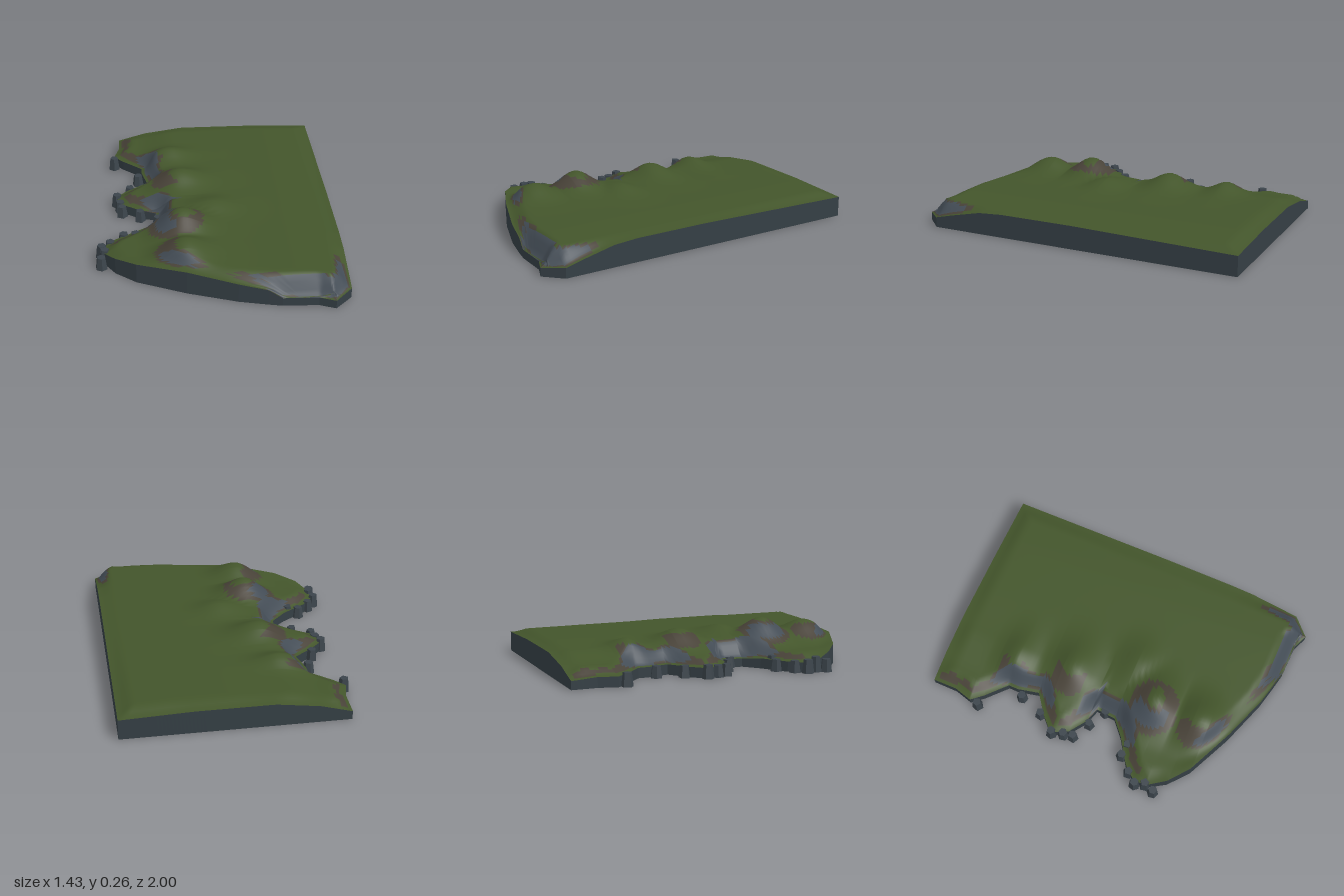
import * as THREE from 'three';

// Coast and far edges as [x, z, rim height], west side running back to front
const WEST = [
  [-0.58, -1, 0.05], [-0.58, -0.85, 0.06], [-0.61, -0.74, 0.06], [-0.55, -0.67, 0.06],
  [-0.43, -0.56, 0.06], [-0.43, -0.5, 0.06], [-0.4, -0.37, 0.06], [-0.52, -0.28, 0.06],
  [-0.6, -0.2, 0.06], [-0.55, -0.1, 0.06], [-0.45, -0.03, 0.06], [-0.35, 0, 0.05],
  [-0.36, 0.12, 0.05], [-0.45, 0.2, 0.06], [-0.6, 0.3, 0.06], [-0.67, 0.38, 0.06],
  [-0.67, 0.46, 0.07], [-0.6, 0.57, 0.1], [-0.48, 0.67, 0.12], [-0.2, 0.8, 0.14],
  [0.08, 0.9, 0.115], [0.24, 0.938, 0.095], [0.32, 0.955, 0.05], [0.52, 0.962, 0.05], [0.61, 1, 0.05],
];
const EAST = [
  [0.71, -1, 0.12], [0.71, 0, 0.14], [0.71, 0.45, 0.14], [0.71, 0.6, 0.13],
  [0.71, 0.8, 0.085], [0.71, 0.9, 0.06], [0.61, 1, 0.05],
];
const BACK = [[-0.58, -1, 0.05], [-0.4, -1, 0.1], [-0.15, -1, 0.135], [0.3, -1, 0.135], [0.71, -1, 0.12]];

// Hills as [x, z, rise, spread west, spread east, spread z]
const HILLS = [
  [-0.2, 0.61, 0.085, 0.1, 0.1, 0.095],
  [-0.21, 0.32, 0.115, 0.1, 0.11, 0.095],
  [-0.02, 0.13, 0.048, 0.12, 0.1, 0.08],
  [-0.2, -0.22, 0.08, 0.1, 0.12, 0.085],
  [-0.28, -0.57, 0.058, 0.09, 0.12, 0.065],
];

const smooth = THREE.MathUtils.smoothstep;

function edgeX(line, z) {
  for (let i = 1; i < line.length; i++) {
    const [x0, z0] = line[i - 1], [x1, z1] = line[i];
    if (z <= z1) return x0 + (x1 - x0) * (z - z0) / (z1 - z0);
  }
  return line.at(-1)[0];
}

// Distance to the nearest rim and the rim height there
function nearestRim(x, z) {
  let best = Infinity, rim = 0;
  for (const line of [WEST, EAST, BACK]) {
    for (let i = 1; i < line.length; i++) {
      const [ax, az, ah] = line[i - 1], [bx, bz, bh] = line[i];
      const dx = bx - ax, dz = bz - az;
      const t = THREE.MathUtils.clamp(((x - ax) * dx + (z - az) * dz) / (dx * dx + dz * dz), 0, 1);
      const d = Math.hypot(x - ax - t * dx, z - az - t * dz);
      if (d < best) { best = d; rim = ah + t * (bh - ah); }
    }
  }
  return [best, rim];
}

function height(x, z) {
  const [d, rim] = nearestRim(x, z);
  let rise = 0;
  for (const [hx, hz, a, west, east, sz] of HILLS) {
    const u = (x - hx) / (x < hx ? west : east), v = (z - hz) / sz;
    rise = Math.max(rise, a * Math.exp(-(u * u + v * v) / 2));
  }
  const land = 0.105 + 0.045 * smooth(x, -0.48, -0.2) + 0.008 * smooth(x, -0.2, 0.1) - 0.008 * smooth(x, 0.4, 0.7);
  return rim + (land + rise - rim) * smooth(d, 0, 0.1);
}

function mesh(name, geometry, color, flatShading = false) {
  const m = new THREE.Mesh(geometry, new THREE.MeshStandardMaterial({ color, flatShading }));
  m.name = name;
  return m;
}

function geometryFrom(points, index) {
  const g = new THREE.BufferGeometry();
  g.setAttribute('position', new THREE.Float32BufferAttribute(points, 3));
  g.setIndex(index);
  g.computeVertexNormals();
  return g;
}

export function createModel() {
  const model = new THREE.Group();
  model.name = 'coastalLand';

  // Rows across the land, with one at every corner of the outline
  const rowZ = new Set([...WEST, ...EAST].map(p => p[1]));
  for (let i = 0; i <= 80; i++) rowZ.add(Math.round((-1 + i / 40) * 1000) / 1000);
  const rows = [...rowZ].sort((a, b) => a - b);
  const cols = 64;
  const points = [];
  for (const z of rows) {
    const w = edgeX(WEST, z), e = edgeX(EAST, z);
    for (let j = 0; j <= cols; j++) {
      const x = w + (e - w) * j / cols;
      points.push(x, height(x, z), z);
    }
  }
  const id = (i, j) => i * (cols + 1) + j;
  const vertex = i => new THREE.Vector3().fromArray(points, i * 3);

  // Steep cells become slate or earth, the rest grass
  const surface = { grass: [], earth: [], slate: [] };
  const all = [], bottom = [];
  for (let i = 0; i < rows.length - 1; i++) {
    for (let j = 0; j < cols; j++) {
      const a = id(i, j), b = id(i, j + 1), c = id(i + 1, j), d = id(i + 1, j + 1);
      const n = vertex(d).sub(vertex(a)).cross(vertex(b).sub(vertex(c))).normalize();
      const kind = n.y < 0.8 ? 'slate' : n.y < 0.87 ? 'earth' : 'grass';
      surface[kind].push(a, c, b, b, c, d);
      all.push(a, c, b, b, c, d);
    }
    const l = id(i, 0), r = id(i, cols), l2 = id(i + 1, 0), r2 = id(i + 1, cols);
    bottom.push(l, r, l2, r, r2, l2);
  }
  const land = geometryFrom(points, all);
  const colors = { grass: 0x43552b, earth: 0x484238, slate: 0x434c55 };
  for (const kind in surface) {
    const g = land.clone();
    g.setIndex(surface[kind]);
    model.add(mesh(kind, g, colors[kind]));
  }

  // Side walls around the outline, down to the ground
  const ring = [];
  for (let j = 0; j <= cols; j++) ring.push(id(0, j));
  for (let i = 1; i < rows.length; i++) ring.push(id(i, cols));
  for (let i = rows.length - 2; i >= 0; i--) ring.push(id(i, 0));
  const wallPoints = [], wallIndex = [];
  ring.forEach((v, k) => {
    const p = vertex(v);
    wallPoints.push(p.x, p.y, p.z, p.x, 0, p.z);
    if (k) {
      const t = 2 * k;
      wallIndex.push(t - 2, t, t - 1, t, t + 1, t - 1);
    }
  });
  model.add(mesh('cliffWall', geometryFrom(wallPoints, wallIndex), 0x353f45, true));

  // Flat underside
  const flat = points.map((v, k) => (k % 3 === 1 ? 0 : v));
  model.add(mesh('underside', geometryFrom(flat, bottom), 0x353f45, true));

  // Boulders along the western shore, as [x, z, height]
  const boulders = new THREE.Group();
  boulders.name = 'shoreBoulders';
  const spots = [
    [-0.61, -0.69, 0.08], [-0.455, -0.46, 0.07], [-0.51, -0.31, 0.07], [-0.59, -0.2, 0.08],
    [-0.56, -0.07, 0.07], [-0.57, -0.13, 0.07], [-0.45, -0.01, 0.07], [-0.34, 0.05, 0.06],
    [-0.48, 0.26, 0.08], [-0.55, 0.25, 0.07], [-0.63, 0.33, 0.07], [-0.68, 0.39, 0.08],
    [-0.66, 0.45, 0.09], [-0.68, 0.51, 0.075],
  ];
  spots.forEach(([x, z, h], k) => {
    const b = mesh('boulder', new THREE.CylinderGeometry(0.026, 0.036, h, 5 + k % 2), 0x3b444b, true);
    b.position.set(x, h / 2, z);
    b.rotation.y = k * 1.3;
    boulders.add(b);
  });
  model.add(boulders);
  return model;
}
